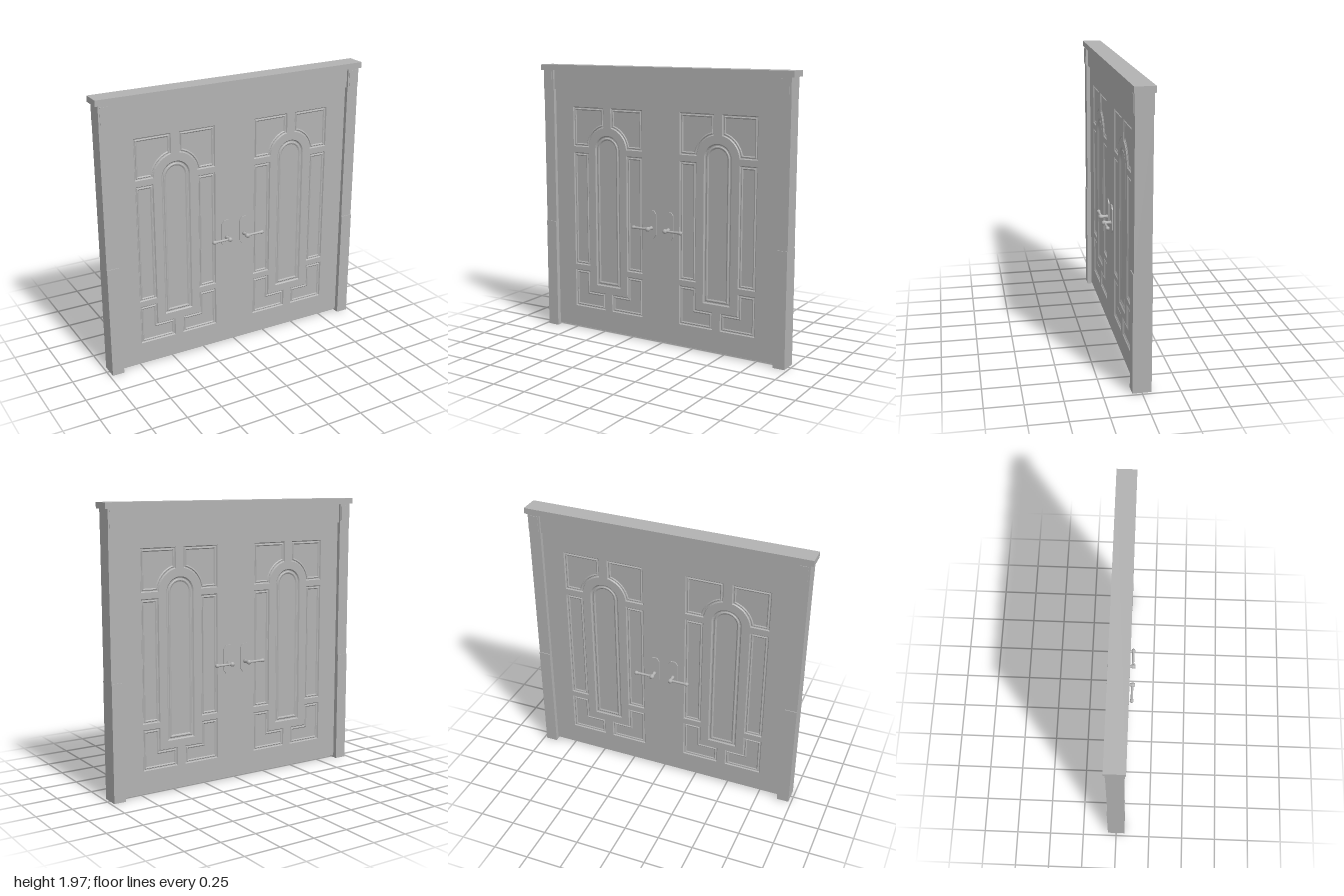
import * as THREE from 'three';

const stone = new THREE.MeshStandardMaterial({ color: 0xb2b2b2 });
stone.name = 'plain grey';

const FACE = 0.03; // half thickness of the door leaves

function add(parent, name, geometry, x = 0, y = 0, z = 0) {
  const mesh = new THREE.Mesh(geometry, stone);
  mesh.name = name;
  mesh.position.set(x, y, z);
  parent.add(mesh);
  return mesh;
}

// Box from its x and y limits, centred on z
function slab(parent, name, x0, x1, y0, y1, halfDepth) {
  return add(parent, name, new THREE.BoxGeometry(x1 - x0, y1 - y0, halfDepth * 2), (x0 + x1) / 2, (y0 + y1) / 2);
}

const V = (x, y) => new THREE.Vector2(x, y);
const rect = (x0, x1, y0, y1) => [V(x0, y0), V(x1, y0), V(x1, y1), V(x0, y1)];

function arc(cy, r, from, to, n) {
  return Array.from({ length: n + 1 }, (_, i) => {
    const a = from + ((to - from) * i) / n;
    return V(r * Math.cos(a), cy + r * Math.sin(a));
  });
}

// Mitred inward offset of a counter-clockwise outline
function inset(points, d) {
  const n = points.length;
  return points.map((p, i) => {
    const a = p.clone().sub(points[(i + n - 1) % n]).normalize();
    const b = points[(i + 1) % n].clone().sub(p).normalize();
    const na = V(-a.y, a.x), nb = V(-b.y, b.x);
    return p.clone().addScaledVector(na.clone().add(nb), d / (1 + na.dot(nb)));
  });
}

// Stepped moulding running inward from an outline: [inset, z] pairs
function mouldingGeometry(outline, steps) {
  const pos = [];
  const loops = steps.map(([d, z]) => inset(outline, d).map(p => [p.x, p.y, z]));
  for (let s = 0; s + 1 < loops.length; s++) {
    const a = loops[s], b = loops[s + 1];
    for (let i = 0; i < a.length; i++) {
      const j = (i + 1) % a.length;
      pos.push(...a[i], ...a[j], ...b[j], ...a[i], ...b[j], ...b[i]);
    }
  }
  const g = new THREE.BufferGeometry();
  g.setAttribute('position', new THREE.Float32BufferAttribute(pos, 3));
  g.computeVertexNormals();
  return g;
}

// Panel outlines of one leaf, around its own centre line
function leafPanels() {
  const curve = arc(1.365, 0.162, Math.acos(0.03 / 0.162), Math.asin(0.013 / 0.162), 10);
  const half = [
    { name: 'upperCornerPanel', pts: [V(0.295, 1.378), V(0.295, 1.667), V(0.03, 1.667), ...curve] },
    { name: 'sidePanel', pts: rect(0.163, 0.295, 0.495, 1.335) },
    { name: 'lowerCornerPanel', pts: [V(0.03, 0.172), V(0.295, 0.172), V(0.295, 0.455), V(0.163, 0.455), V(0.163, 0.3), V(0.03, 0.3)] },
  ];
  const mirrored = half.map(({ name, pts }) => ({ name, pts: pts.map(p => V(-p.x, p.y)).reverse() }));
  const arch = { name: 'archedPanel', wide: true, pts: [V(-0.105, 0.355), V(0.105, 0.355), ...arc(1.365, 0.105, 0, Math.PI, 20)] };
  return [arch, ...half, ...mirrored];
}

// Lever handle on its escutcheon; dir is the way the lever points
function handle(dir) {
  const g = new THREE.Group();
  g.name = 'handle';
  const plate = new THREE.Shape([
    V(-0.018, -0.1), V(0.018, -0.1), V(0.036, -0.075), V(0.036, 0.075),
    V(0.018, 0.1), V(-0.018, 0.1), V(-0.036, 0.075), V(-0.036, -0.075),
  ]);
  add(g, 'handlePlate', new THREE.ExtrudeGeometry(plate, { depth: 0.008, bevelEnabled: false }), 0, 0.87, FACE);

  const neck = [[0, 0], [0.016, 0], [0.012, 0.012], [0.01, 0.03], [0.015, 0.044], [0.017, 0.054], [0.013, 0.066], [0, 0.068]];
  const spindle = add(g, 'handleNeck', new THREE.LatheGeometry(neck.map(p => V(...p)), 16), 0, 0.842, FACE + 0.005);
  spindle.rotation.x = Math.PI / 2;

  const bar = [[0, 0], [0.01, 0], [0.008, 0.03], [0.009, 0.105], [0.013, 0.113], [0.014, 0.124], [0.01, 0.132], [0, 0.134]];
  const lever = add(g, 'handleLever', new THREE.LatheGeometry(bar.map(p => V(...p)), 16), 0, 0.842, 0.083);
  lever.rotation.z = -dir * Math.PI / 2;
  return g;
}

// Everything that shows on one face of the door
function doorSide(name) {
  const side = new THREE.Group();
  side.name = name;
  const face = new THREE.Shape(rect(-0.9, 0.9, 0.015, 1.8));
  for (const cx of [-0.447, 0.447]) {
    for (const { name: part, pts, wide } of leafPanels()) {
      const outline = pts.map(p => V(p.x + cx, p.y));
      face.holes.push(new THREE.Path(outline));
      const k = wide ? 1.4 : 1;
      const steps = [[0, FACE], [0.006 * k, FACE - 0.008], [0.011 * k, FACE - 0.008],
        [0.015 * k, FACE - 0.003], [0.019 * k, FACE - 0.003], [0.025 * k, FACE - 0.008]];
      add(side, part + 'Moulding', mouldingGeometry(outline, steps));
      const field = new THREE.Shape(inset(outline, 0.025 * k));
      add(side, part, new THREE.ShapeGeometry(field), 0, 0, FACE - 0.008);
    }
  }
  add(side, 'doorLeaves', new THREE.ExtrudeGeometry(face, { depth: FACE, bevelEnabled: false }));

  for (const s of [-1, 1]) {
    const h = handle(s);
    h.position.x = s * 0.07;
    side.add(h);
    // Raised square on the corner block
    add(side, 'cornerSquare', new THREE.BoxGeometry(0.062, 0.112, 0.006), s * 0.9375, 1.858, 0.06);
  }
  return side;
}

export function createModel() {
  const model = new THREE.Group();
  model.name = 'doubleDoor';

  const front = doorSide('frontSide');
  const back = doorSide('backSide');
  back.rotation.y = Math.PI;
  model.add(front, back);

  // Surround: stepped posts, corner blocks, header and cap
  for (const s of [-1, 1]) {
    const [a, b] = s > 0 ? [0.895, 0.98] : [-0.98, -0.895];
    slab(model, 'lowerPost', a, b, 0, 0.805, 0.0625);
    slab(model, 'upperPost', a, b, 0.805, 1.79, 0.057);
    slab(model, 'cornerBlock', a, b, 1.79, 1.925, 0.06);
  }
  slab(model, 'header', -0.895, 0.895, 1.79, 1.925, 0.045);
  slab(model, 'cap', -1, 1, 1.925, 1.965, 0.067);
  return model;
}
